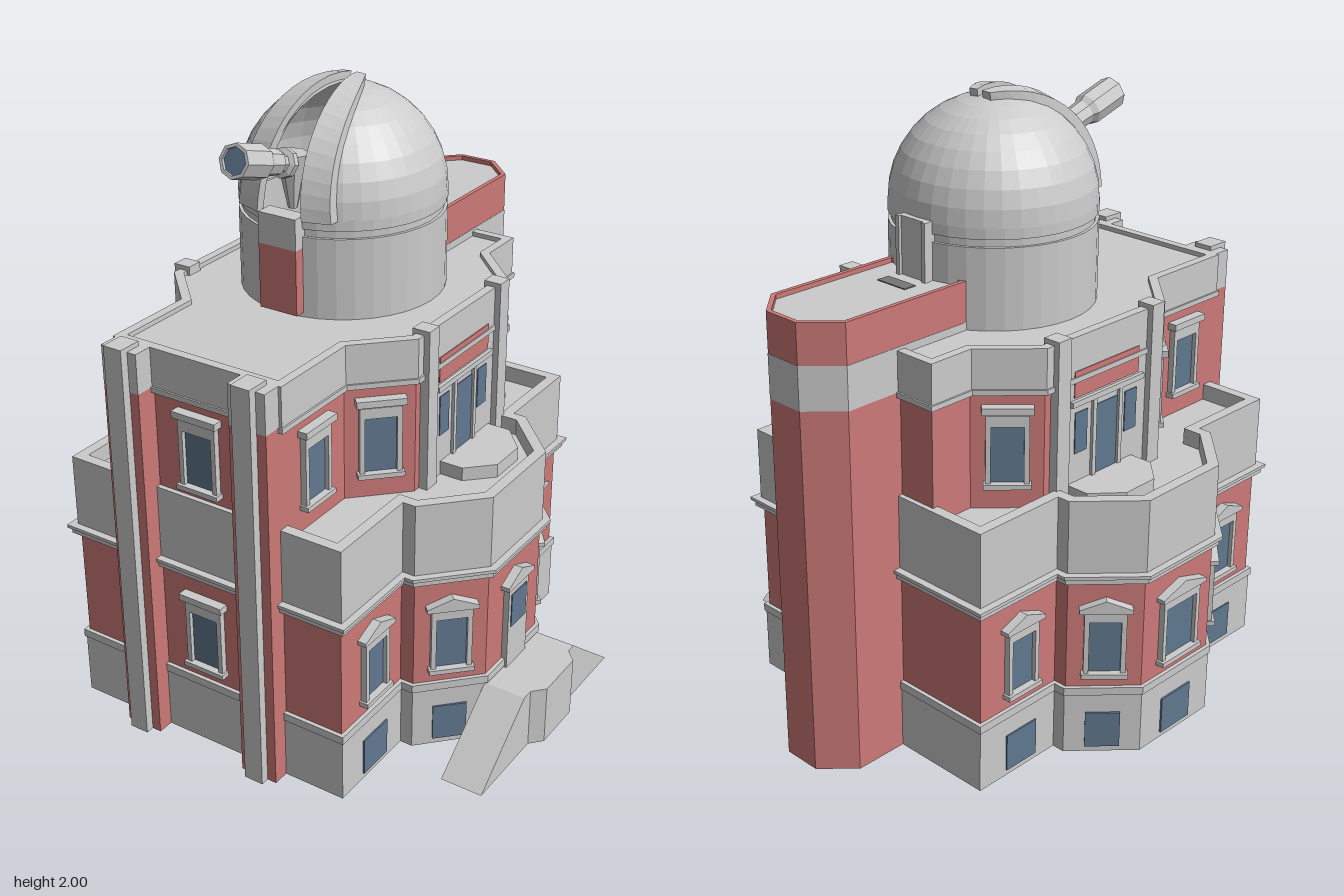
import * as THREE from 'three';

const mat = (color) => new THREE.MeshStandardMaterial({ color, flatShading: true, side: THREE.DoubleSide });
const STONE = mat(0xcccccc), BRICK = mat(0xcc7a78), GLASS = mat(0x617890), DARK = mat(0x777777);
const CX = -0.075; // symmetry axis of the building

// Footprints as [x, z] points, pushed outward by d
function lowerPlan(d) {
  const q = [[0.5 + d, 0.665 + d], [0.5 + d, 0.335 + d], [0.547 + 0.41 * d, 0.335 + d], [0.71 + d, 0.165 + 0.41 * d]];
  const right = [...q, ...q.map(([x, z]) => [x, -z]).reverse()];
  return mirrorPlan(right).map(([x, z]) => [x, z + 0.1]);
}
function upperPlan(d) {
  return mirrorPlan([
    [0.295 + d, 0.755 + d], [0.295 + d, 0.44 + 0.41 * d], [0.45 + d, 0.285 + 0.41 * d],
    [0.45 + d, -0.245 - 0.41 * d], [0.295 + d, -0.4 - 0.41 * d], [0.295 + d, -0.555 - d],
  ]);
}
const towerPlan = (d) => mirrorPlan([
  [0.163 + d, -0.28 + d], [0.163 + d, -0.755 - 0.41 * d], [0.065 + 0.41 * d, -0.853 - d],
]);
function mirrorPlan(right) {
  return [...right, ...right.map(([x, z]) => [-x, z]).reverse()];
}

const toPoints = (plan) => plan.map(([x, z]) => new THREE.Vector2(x, -z));

export function createModel() {
  const model = new THREE.Group();

  function add(name, geometry, material, parent = model) {
    const mesh = new THREE.Mesh(geometry, material);
    mesh.name = name;
    parent.add(mesh);
    return mesh;
  }
  function box(name, w, h, d, x, y, z, material, parent = model) {
    const m = add(name, new THREE.BoxGeometry(w, h, d), material, parent);
    m.position.set(x, y + h / 2, z);
    return m;
  }
  // Vertical prism over a footprint, optionally hollow
  function prism(name, outer, y0, y1, material, inner) {
    const shape = new THREE.Shape(toPoints(outer));
    if (inner) shape.holes.push(new THREE.Path(toPoints(inner)));
    const g = new THREE.ExtrudeGeometry(shape, { depth: y1 - y0, bevelEnabled: false });
    g.rotateX(-Math.PI / 2);
    const m = add(name, g, material);
    m.position.set(CX, y0, 0);
    return m;
  }
  const ring = (name, plan, d, t, y0, y1, material) => prism(name, plan(d), y0, y1, material, plan(d - t));

  // Group on a wall: local +z points out of the wall
  function onWall(name, x, y, z, angle) {
    const g = new THREE.Group();
    g.name = name;
    g.position.set(CX + x, y, z);
    g.rotation.y = angle;
    model.add(g);
    return g;
  }
  function pediment(g, w, y, h) {
    const s = new THREE.Shape([[-w / 2, 0], [w / 2, 0], [w / 2, h * 0.3], [0, h], [-w / 2, h * 0.3]].map((p) => new THREE.Vector2(...p)));
    add('pediment', new THREE.ExtrudeGeometry(s, { depth: 0.035, bevelEnabled: false }), STONE, g).position.set(0, y, -0.005);
  }
  function windowUnit(x, y, z, angle, w, h, gable) {
    const g = onWall('window', x, y, z, angle);
    box('glass', w, h, 0.01, 0, 0, 0.001, GLASS, g);
    for (const s of [-1, 1]) box('jamb', 0.016, h, 0.03, s * (w / 2 - 0.005), 0, 0.005, STONE, g);
    box('sill', w + 0.02, 0.016, 0.04, 0, -0.006, 0.01, STONE, g);
    box('head', w, 0.035, 0.03, 0, h - 0.035, 0.005, STONE, g);
    if (gable) pediment(g, w + 0.04, h, 0.045);
    else box('lintel', w + 0.03, 0.022, 0.045, 0, h + 0.008, 0.01, STONE, g);
  }
  const cellarWindow = (x, z, angle, w) =>
    box('cellarWindow', w, 0.125, 0.01, 0, 0, 0, GLASS, onWall('cellarOpening', x, 0.02, z, angle));

  // Lower storey
  ring('stoneBase', lowerPlan, 0.008, 0.03, 0, 0.21, STONE);
  ring('baseTrim', lowerPlan, 0.013, 0.03, 0.21, 0.237, STONE);
  ring('lowerWall', lowerPlan, 0, 0.02, 0.237, 0.61, BRICK);
  ring('corniceLower', lowerPlan, 0.02, 0.04, 0.61, 0.626, STONE);
  ring('corniceUpper', lowerPlan, 0.03, 0.05, 0.63, 0.641, STONE);
  ring('terraceParapet', lowerPlan, 0.006, 0.036, 0.626, 0.885, STONE);
  prism('terraceRoof', lowerPlan(-0.02), 0.8, 0.83, STONE);

  // Upper storey
  ring('upperWall', upperPlan, 0, 0.02, 0.83, 1.21, BRICK);
  ring('upperCornice', upperPlan, 0.016, 0.03, 1.205, 1.222, STONE);
  ring('roofParapet', upperPlan, 0.01, 0.03, 1.222, 1.35, STONE);
  prism('upperRoof', upperPlan(-0.01), 1.31, 1.335, STONE);

  // Rear stair tower
  ring('towerWall', towerPlan, 0, 0.015, 0, 1.22, BRICK);
  ring('towerBand', towerPlan, 0.001, 0.016, 1.22, 1.36, STONE);
  ring('towerParapet', towerPlan, 0, 0.015, 1.36, 1.49, BRICK);
  prism('towerRoof', towerPlan(-0.01), 1.45, 1.475, STONE);

  // Front windows
  windowUnit(0, 0.285, 0.765, 0, 0.13, 0.23, false);
  windowUnit(0, 0.92, 0.755, 0, 0.13, 0.225, false);

  for (const s of [-1, 1]) {
    // Front pilasters
    box('pilasterBack', 0.13, 1.22, 0.08, CX + s * 0.23, 0, 0.787, BRICK);
    box('pilasterCap', 0.13, 0.13, 0.08, CX + s * 0.23, 1.22, 0.788, STONE);
    box('pilasterStrip', 0.066, 1.365, 0.08, CX + s * 0.23, 0, 0.815, STONE);

    // Windows on the flanks and the angled walls
    for (const e of [1, -1]) {
      const side = (s * Math.PI) / 2, diagonal = s * (Math.PI / 2 - (e * Math.PI) / 4);
      const zFlank = 0.1 + e * 0.495, zBay = 0.1 + e * 0.25, zUp = 0.02 + e * 0.342;
      windowUnit(s * 0.5, 0.285, zFlank, side, 0.125, 0.225, true);
      windowUnit(s * 0.6285, 0.285, zBay, diagonal, 0.125, 0.225, true);
      windowUnit(s * 0.3725, 0.91, zUp, diagonal, 0.125, 0.23, false);
      cellarWindow(s * 0.508, zFlank, side, 0.13);
      cellarWindow(s * 0.635, zBay + e * 0.006, diagonal, 0.11);
      // Terrace portal piers
      box('portalPier', 0.06, 0.535, 0.055, CX + s * 0.45, 0.83, 0.02 + e * 0.213, STONE);
    }
    windowUnit(s * 0.295, 0.91, 0.6, (s * Math.PI) / 2, 0.125, 0.23, false);

    // Terrace portal
    const portal = onWall('portal', s * 0.45, 0.83, 0.02, (s * Math.PI) / 2);
    box('portalPanel', 0.4, 0.42, 0.02, 0, 0, 0, STONE, portal);
    box('portalFrieze', 0.295, 0.085, 0.01, 0, 0.325, 0.008, BRICK, portal);
    box('portalLedge', 0.33, 0.018, 0.035, 0, 0.3, 0.005, STONE, portal);
    box('portalDoor', 0.1, 0.275, 0.01, 0, 0, 0.008, GLASS, portal);
    for (const e of [-1, 1]) {
      box('sideLight', 0.055, 0.135, 0.01, e * 0.115, 0.14, 0.008, GLASS, portal);
      box('doorJamb', 0.016, 0.3, 0.03, e * 0.06, 0, 0.005, STONE, portal);
    }
    // Chamfered step in front of the portal
    prism('portalStep', [[0.44, -0.15], [0.54, -0.15], [0.62, -0.06], [0.62, 0.07], [0.54, 0.15], [0.44, 0.15]]
      .map(([x, z]) => [s * x, z]), 0.83, 0.875, STONE);
  }

  // Right bay window and left bay door
  windowUnit(-0.71, 0.285, 0.1, -Math.PI / 2, 0.17, 0.225, true);
  cellarWindow(-0.719, 0.1, -Math.PI / 2, 0.14);
  const entry = onWall('entrance', 0.71, 0.205, 0.1, Math.PI / 2);
  box('entranceDoor', 0.125, 0.3, 0.03, 0, 0, 0.005, STONE, entry);
  box('doorGlass', 0.095, 0.12, 0.01, 0, 0.15, 0.018, GLASS, entry);
  pediment(entry, 0.165, 0.3, 0.05);

  // Entrance ramps with landing
  const ramp = new THREE.Shape([[-0.53, 0], [-0.27, 0.205], [0.065, 0.205], [0.325, 0]].map((p) => new THREE.Vector2(...p)));
  const rampMesh = add('entranceSteps', new THREE.ExtrudeGeometry(ramp, { depth: 0.143, bevelEnabled: false }), STONE);
  rampMesh.rotation.y = Math.PI / 2;
  rampMesh.position.x = 0.637;
  prism('landing', [[0.8, -0.03], [0.855, -0.03], [0.892, 0.01], [0.892, 0.19], [0.855, 0.23], [0.8, 0.23]], 0, 0.205, STONE);

  // Observatory drum and dome, with a slit facing the front
  const dome = new THREE.Group();
  dome.name = 'observatory';
  dome.position.x = CX;
  model.add(dome);
  const R = 0.327, gap = 0.25;
  const cyl = (name, r, y0, y1) =>
    add(name, new THREE.CylinderGeometry(r, r, y1 - y0, 36, 1, true), STONE, dome).position.set(0, (y0 + y1) / 2, 0);
  cyl('drum', R, 1.32, 1.595);
  cyl('drumGroove', R - 0.01, 1.595, 1.62);
  const rims = [[1.595, R], [1.62, R]];
  for (const [y, r] of rims) {
    const rim = add('drumRim', new THREE.RingGeometry(r - 0.02, r, 36), STONE, dome);
    rim.rotation.x = -Math.PI / 2;
    rim.position.y = y;
  }
  cyl('domeSkirt', R, 1.62, 1.655);
  add('domeShell', new THREE.SphereGeometry(R, 34, 9, Math.PI / 2 + gap, 2 * Math.PI - 2 * gap, 0, Math.PI / 2), STONE, dome).position.y = 1.652;

  // Open shutters: curved bands over the dome that narrow towards the top
  function shutter(s) {
    const n = 14, pos = [], idx = [];
    for (let i = 0; i <= n; i++) {
      const u = i / n, a = u * 1.75;
      const outer = 0.168 - 0.05 * u - 0.075 * u ** 4, inner = 0.08 - 0.045 * u - 0.025 * u ** 4;
      for (const [x, r] of [[inner, 0.318], [inner, 0.35], [outer, 0.35], [outer, 0.318]]) {
        const q = Math.sqrt(r * r - x * x * 0.85);
        pos.push(s * x, 1.652 + q * Math.sin(a), q * Math.cos(a));
      }
      if (i < n) for (let k = 0; k < 4; k++) {
        const p = i * 4 + k, r = i * 4 + ((k + 1) % 4);
        if (s > 0) idx.push(p, r, p + 4, r, r + 4, p + 4);
        else idx.push(p, p + 4, r, r, p + 4, r + 4);
      }
    }
    const e = n * 4;
    idx.push(0, 1, 2, 0, 2, 3, e, e + 1, e + 2, e, e + 2, e + 3);
    const g = new THREE.BufferGeometry();
    g.setAttribute('position', new THREE.Float32BufferAttribute(pos, 3));
    g.setIndex(idx);
    g.computeVertexNormals();
    add('shutter', g, STONE, dome);
  }
  shutter(1);
  shutter(-1);

  // Front panel under the slit and rear doorway
  box('slitPanel', 0.136, 0.21, 0.06, 0, 1.35, 0.325, BRICK, dome);
  box('slitSill', 0.136, 0.1, 0.06, 0, 1.56, 0.325, STONE, dome);
  box('rearDoorway', 0.12, 0.31, 0.05, 0, 1.35, -0.32, STONE, dome);
  box('rearHatch', 0.118, 0.006, 0.045, 0, 1.472, -0.412, DARK, dome);
  for (const s of [-1, 1]) box('doorwayPost', 0.015, 0.19, 0.02, s * 0.055, 1.47, -0.345, STONE, dome);

  // Telescope: stepped octagonal tube on a tapering mount
  const scope = new THREE.Group();
  scope.name = 'telescope';
  scope.position.set(0, 1.715, 0);
  scope.rotation.x = Math.PI / 2 - 0.3;
  dome.add(scope);
  const profile = [[0.025, 0], [0.03, 0.31], [0.047, 0.315], [0.047, 0.335], [0.03, 0.34], [0.03, 0.365],
    [0.04, 0.37], [0.042, 0.43], [0.053, 0.45], [0.053, 0.575], [0.042, 0.575], [0.042, 0.56]];
  add('tube', new THREE.LatheGeometry(profile.map((p) => new THREE.Vector2(...p)), 8), STONE, scope);
  add('lens', new THREE.CylinderGeometry(0.043, 0.043, 0.006, 8), GLASS, scope).position.y = 0.562;
  add('mount', new THREE.CylinderGeometry(0.05, 0.015, 0.17, 8), STONE, dome).position.set(0, 1.745, 0.27);
  return model;
}
